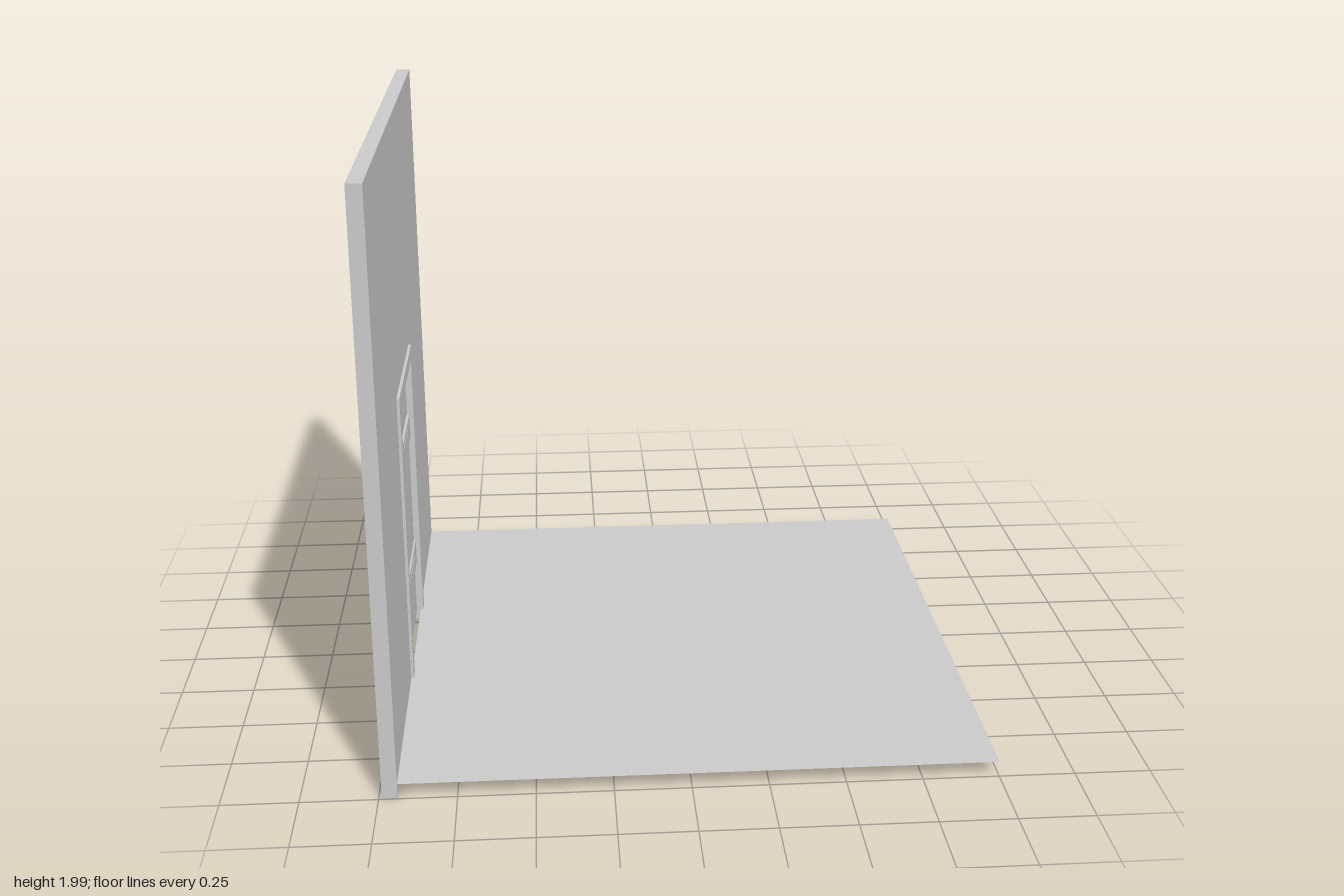
import * as THREE from 'three';

const mat = new THREE.MeshStandardMaterial({ color: 0xcccccc, flatShading: true, side: THREE.DoubleSide });
const CX = -0.965; // middle of the wall thickness

export function createModel() {
  const model = new THREE.Group();
  const add = (parent, name, geometry) => {
    const mesh = new THREE.Mesh(geometry, mat);
    mesh.name = name;
    parent.add(mesh);
    return mesh;
  };
  // Box centred on the wall plane, given its depth and its z and y ranges
  const slab = (parent, name, depth, z0, z1, y0, y1) => {
    const m = add(parent, name, new THREE.BoxGeometry(depth, y1 - y0, z1 - z0));
    m.position.set(CX, (y0 + y1) / 2, (z0 + z1) / 2);
    return m;
  };
  // Outline drawn in (-z, y), extruded along x around the wall plane
  const extrude = (parent, name, points, depth, x = CX) => {
    const shape = new THREE.Shape(points.map(([z, y]) => new THREE.Vector2(-z, y)));
    const g = new THREE.ExtrudeGeometry(shape, { depth, bevelEnabled: false });
    g.translate(0, 0, -depth / 2).rotateY(Math.PI / 2);
    const m = add(parent, name, g);
    m.position.x = x;
    return m;
  };
  // Upside-down U outline, open at the bottom
  const arch = (zo, top, zi, innerTop, y0) => [
    [zo, y0], [zi, y0], [zi, innerTop], [-zi, innerTop],
    [-zi, y0], [-zo, y0], [-zo, top], [zo, top],
  ];

  // Floor sheet
  const floor = add(model, 'floor', new THREE.PlaneGeometry(1.94, 1.99).rotateX(-Math.PI / 2));
  floor.position.set(0.03, 0.05, 0);

  // Wall with doorway, and the frame that wraps it
  extrude(model, 'wall', arch(0.995, 1.99, 0.28, 1.08, 0), 0.05);
  extrude(model, 'doorFrame', arch(0.298, 1.1, 0.253, 1.053, 0.053), 0.07);

  // Plank door
  const door = new THREE.Group();
  door.name = 'door';
  model.add(door);
  const planks = 6, w = 0.506 / planks;
  for (let i = 0; i < planks; i++) {
    const z = -0.253 + i * w;
    slab(door, 'plank', 0.022, z + 0.002, z + w - 0.002, 0.053, 1.05);
  }
  slab(door, 'plankCore', 0.014, -0.253, 0.253, 0.053, 1.05);

  // Narrow boards between the battens
  const boards = 12, bw = 0.506 / boards;
  for (let i = 0; i < boards; i++) {
    const z = -0.253 + i * bw;
    slab(door, 'middleBoard', 0.026, z + 0.0005, z + bw - 0.0005, 0.34, 0.76);
  }

  // Battens with pointed strap hinges on both faces
  for (const y of [0.3, 0.805]) {
    slab(door, 'batten', 0.04, -0.25, 0.25, y - 0.045, y + 0.045);
    for (const side of [-1, 1]) {
      extrude(door, 'strapHinge', [
        [0.253, y - 0.03], [-0.12, y - 0.018], [-0.14, y - 0.022], [-0.2, y],
        [-0.14, y + 0.022], [-0.12, y + 0.018], [0.253, y + 0.03],
      ], 0.003, CX + side * 0.02);
    }
  }
  return model;
}
